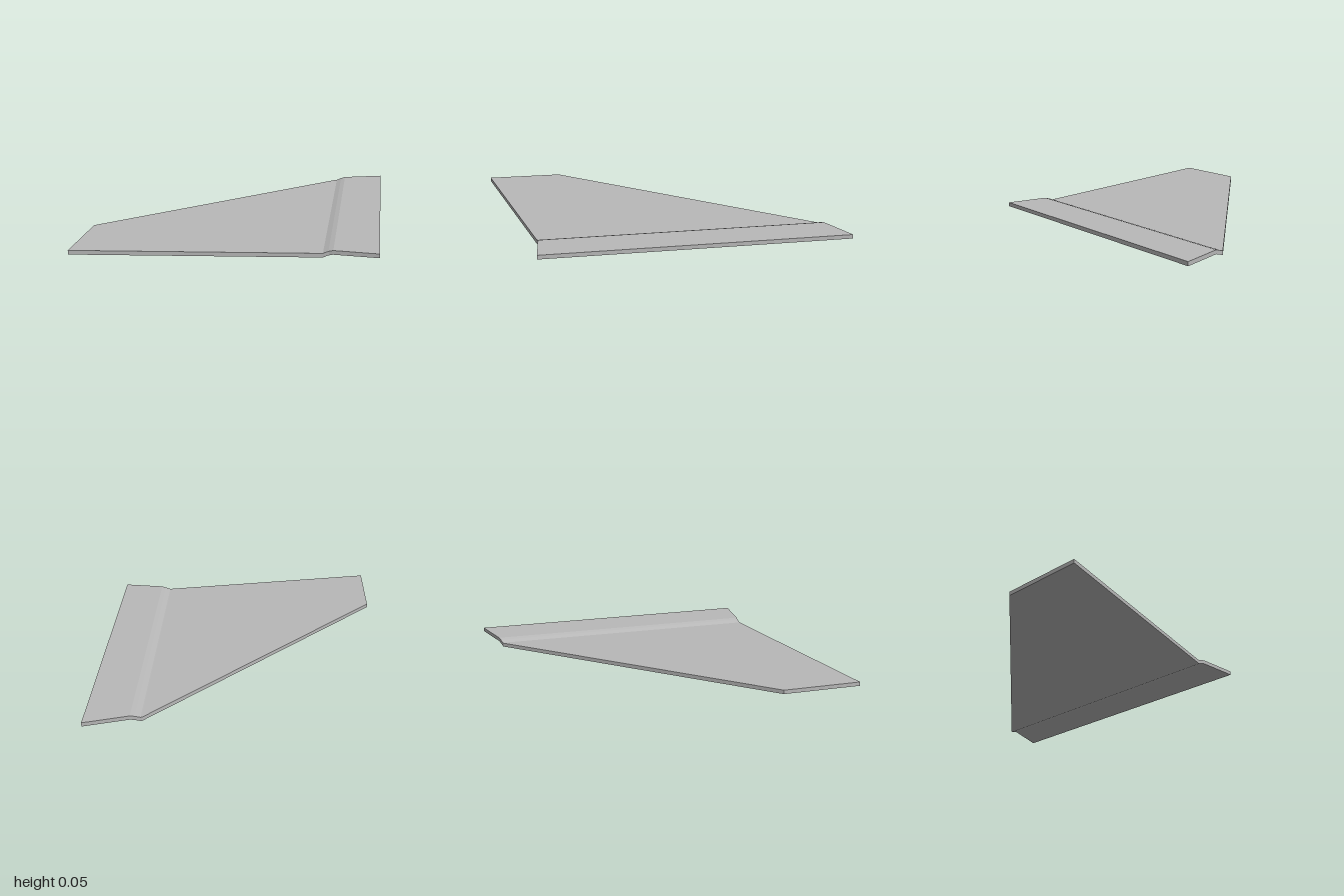
import * as THREE from 'three';

const THICKNESS = 0.024;

// Spanwise stations of the panel: x, underside y, rear z, front z
const stations = [
  [-0.847, 0.025, 0.52, 1.0],
  [0.527, 0.003, -0.905, 0.782],
  [0.535, 0.003, -0.907, 0.781],
  [0.565, 0.012, -0.916, 0.777],
  [0.592, 0.019, -0.924, 0.78],
  [0.847, 0.019, -1.0, 0.805],
];
stations[1][1] = stations[2][1] = 0;

// Lofts the four-cornered cross-sections into a closed, flat-shaded plate
function loftPlate(sections) {
  const positions = [];
  const quad = (a, b, c, d) => [a, b, c, a, c, d].forEach((p) => positions.push(...p));
  const rings = sections.map(([x, y, back, front]) => [
    [x, y, back],
    [x, y, front],
    [x, y + THICKNESS, front],
    [x, y + THICKNESS, back],
  ]);
  for (let i = 0; i < rings.length - 1; i++) {
    const a = rings[i];
    const b = rings[i + 1];
    for (let k = 0; k < 4; k++) {
      const n = (k + 1) % 4;
      quad(a[k], b[k], b[n], a[n]);
    }
  }
  // End caps: the outer tip and the straight root edge
  const first = rings[0];
  const last = rings[rings.length - 1];
  quad(first[0], first[1], first[2], first[3]);
  quad(last[3], last[2], last[1], last[0]);

  const geometry = new THREE.BufferGeometry();
  geometry.setAttribute('position', new THREE.Float32BufferAttribute(positions, 3));
  geometry.computeVertexNormals();
  return geometry;
}

export function createModel() {
  const model = new THREE.Group();
  model.name = 'sweptWingPanel';

  const panelGrey = new THREE.MeshStandardMaterial({ color: 0xb8b8b8 });
  panelGrey.name = 'panel grey';

  // Swept plate with a shallow step running along the root
  const panel = new THREE.Mesh(loftPlate(stations), panelGrey);
  panel.name = 'wingPlate';
  model.add(panel);
  return model;
}
